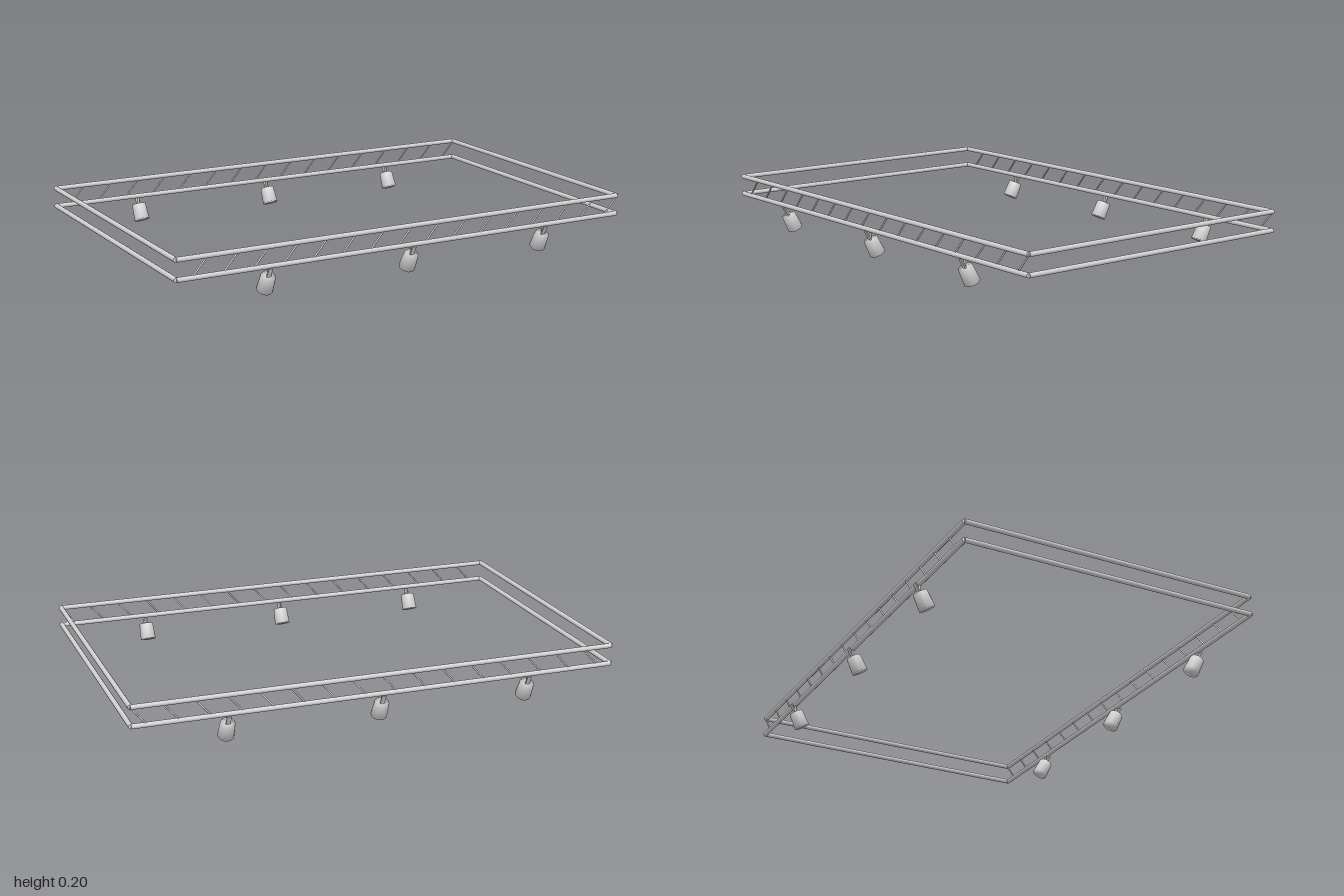
import * as THREE from 'three';
import { mergeVertices } from 'three/addons/utils/BufferGeometryUtils.js';

const metal = new THREE.MeshStandardMaterial({ color: 0xd4d4d4 });
metal.name = 'light grey metal';

const UP = new THREE.Vector3(0, 1, 0);

// Round bar between two points
function bar(name, a, b, radius, sides = 12) {
  const from = new THREE.Vector3(...a);
  const to = new THREE.Vector3(...b);
  const dir = to.clone().sub(from);
  const mesh = new THREE.Mesh(new THREE.CylinderGeometry(radius, radius, dir.length(), sides), metal);
  mesh.position.copy(from).add(to).multiplyScalar(0.5);
  mesh.quaternion.setFromUnitVectors(UP, dir.normalize());
  mesh.name = name;
  return mesh;
}

// Lamp can with normals blended softly over its rims
function canGeometry() {
  const geometry = new THREE.CylinderGeometry(0.029, 0.0325, 0.068, 20);
  geometry.deleteAttribute('normal');
  geometry.deleteAttribute('uv');
  const soft = mergeVertices(geometry);
  soft.computeVertexNormals();
  return soft;
}

// Spotlight hanging from the lower rail on the +z side, aimed inward and down
function spotlight(z, railY) {
  const lamp = new THREE.Group();
  lamp.name = 'spotlight';
  lamp.add(bar('hanger', [0, railY, z], [0, 0.06, z], 0.005, 8));

  const head = new THREE.Group();
  head.name = 'lampHead';
  head.position.set(0, 0.046, 0.602);
  head.rotation.x = 0.48;
  const can = new THREE.Mesh(canGeometry(), metal);
  can.name = 'lampCan';
  // Flat bracket rising from the back of the can
  const bracket = new THREE.Mesh(new THREE.BoxGeometry(0.018, 0.045, 0.005), metal);
  bracket.name = 'bracket';
  bracket.position.set(0, 0.052, 0.004);
  head.add(can, bracket);
  lamp.add(head);
  return lamp;
}

export function createModel() {
  const model = new THREE.Group();
  model.name = 'lightingTruss';
  const X = 0.99, Z = 0.62, LOW = 0.114, HIGH = 0.19, R = 0.01;

  // Two stacked rectangular loops of rails
  for (const y of [LOW, HIGH]) {
    for (const s of [-1, 1]) {
      model.add(bar('longRail', [-X, y, s * Z], [X, y, s * Z], R));
      model.add(bar('sideRail', [s * X, y, -Z], [s * X, y, Z], R));
    }
  }

  // Slanted braces along both long sides
  const count = 16, step = (2 * X) / count;
  for (const s of [-1, 1]) {
    for (let i = 0; i < count; i++) {
      const x = -0.896 + i * step;
      model.add(bar('brace', [x - 0.033, LOW, s * Z], [x + 0.033, HIGH, s * Z], 0.0035, 8));
    }
  }

  // Three spotlights on each long side
  for (const turn of [0, Math.PI]) {
    for (const x of [-0.62, 0, 0.62]) {
      const lamp = spotlight(Z, LOW);
      lamp.position.x = x;
      const side = new THREE.Group();
      side.name = turn ? 'backLight' : 'frontLight';
      side.rotation.y = turn;
      side.add(lamp);
      model.add(side);
    }
  }
  return model;
}
